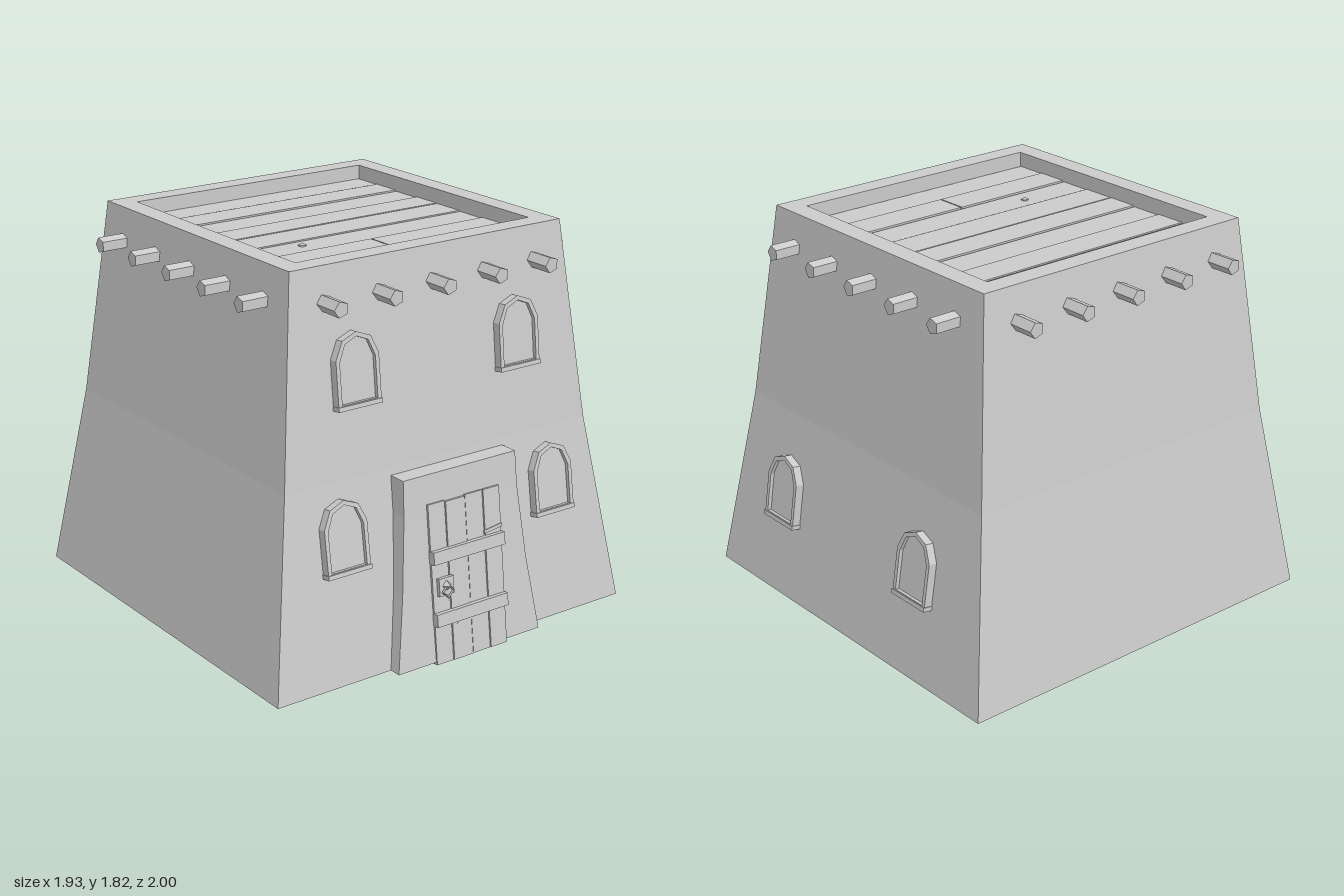
import * as THREE from 'three';

const mat = new THREE.MeshStandardMaterial({ color: 0xcccccc, flatShading: true, side: THREE.DoubleSide });
const CZ = -0.035; // centre of the tower in z

function add(parent, name, geo, x = 0, y = 0, z = 0) {
  const m = new THREE.Mesh(geo, mat);
  m.name = name;
  m.position.set(x, y, z);
  parent.add(m);
  return m;
}

const box = (w, h, d) => new THREE.BoxGeometry(w, h, d);

// Skin through stacked rectangles [y, x0, x1, z0, z1]
function loft(rings, caps = false) {
  const pos = [];
  const c = rings.map(([y, x0, x1, z0, z1]) => [[x0, y, z1], [x1, y, z1], [x1, y, z0], [x0, y, z0]]);
  const quad = (a, b, d, e) => pos.push(...a, ...b, ...d, ...a, ...d, ...e);
  for (let k = 0; k < c.length - 1; k++) {
    for (let i = 0; i < 4; i++) {
      const j = (i + 1) % 4;
      quad(c[k][i], c[k][j], c[k + 1][j], c[k + 1][i]);
    }
  }
  if (caps) {
    quad(...c[c.length - 1]);
    quad(...c[0].slice().reverse());
  }
  const g = new THREE.BufferGeometry();
  g.setAttribute('position', new THREE.Float32BufferAttribute(pos, 3));
  g.computeVertexNormals();
  return g;
}

// Half width of the tower at a height, and the lean of its wall there
const wallHalf = (y) => (y < 0.9 ? 0.965 - (0.135 * (y - 0.015)) / 0.885 : 0.83 - (0.1 * (y - 0.9)) / 0.92);
const wallLean = (y) => Math.atan(y < 0.9 ? 0.135 / 0.885 : 0.1 / 0.92);

// Pointed arch outline
function arch(half, bottom, spring, shoulder, top) {
  return [[-half, bottom], [half, bottom], [half, spring], [half * 0.66, shoulder],
    [0, top], [-half * 0.66, shoulder], [-half, spring]].map(([x, y]) => new THREE.Vector2(x, y));
}

function makeWindow() {
  const g = new THREE.Group();
  g.name = 'window';
  const inner = arch(0.092, 0.024, 0.207, 0.28, 0.306);
  const frame = new THREE.Shape(arch(0.111, 0, 0.218, 0.297, 0.326));
  frame.holes.push(new THREE.Path(inner));
  add(g, 'windowFrame', new THREE.ExtrudeGeometry(frame, { depth: 0.055, bevelEnabled: false }), 0, 0, -0.015);
  add(g, 'windowPane', new THREE.ExtrudeGeometry(new THREE.Shape(inner), { depth: 0.03, bevelEnabled: false }), 0, 0, -0.008);
  add(g, 'windowSill', box(0.228, 0.02, 0.05), 0, 0.01, 0.02);
  return g;
}

function makeRoof() {
  const g = new THREE.Group();
  g.name = 'roof';
  add(g, 'roofUnderlay', box(1.26, 0.02, 1.264), 0, 1.73, CZ);
  const cuts = [-0.67, -0.52, -0.365, -0.205, -0.05, 0.12, 0.28, 0.44, 0.595];
  for (let i = 0; i < cuts.length - 1; i++) {
    const w = cuts[i + 1] - cuts[i] - 0.008;
    const z = (cuts[i] + cuts[i + 1]) / 2;
    const y = 1.742 + 0.003 * Math.sin(i * 2.3);
    if (i === 6) { // one board is made of two pieces
      add(g, 'roofBoard', box(0.618, 0.02, w), -0.319, y, z);
      add(g, 'roofBoard', box(0.634, 0.02, w), 0.313, y, z);
    } else add(g, 'roofBoard', box(1.26, 0.02, w), 0, y, z);
  }
  add(g, 'roofKnot', new THREE.CylinderGeometry(0.018, 0.018, 0.01, 6), -0.31, 1.75, 0.19);
  return g;
}

function makeDoor() {
  const g = new THREE.Group();
  g.name = 'door';
  // Four planks with uneven tops and thickness
  const planks = [[-0.2, -0.105, 0.735], [-0.105, 0.005, 0.73], [0.005, 0.105, 0.735], [0.105, 0.2, 0.735]];
  planks.forEach(([a, b, h], i) => {
    add(g, 'doorPlank', box(b - a - 0.004, h, 0.036), (a + b) / 2, h / 2, -0.008 + 0.003 * (i % 2));
  });
  for (const y of [0.21, 0.495]) add(g, 'doorBatten', box(0.4, 0.058, 0.05), 0, y, 0.01);
  // Splintered edge above the upper batten
  add(g, 'doorSplinter', box(0.1, 0.015, 0.02), 0.15, 0.548, 0.008).rotation.z = 0.12;
  // Square plate with a ring-shaped knocker hanging from a stud
  add(g, 'knockerPlate', box(0.08, 0.08, 0.02), -0.135, 0.355, 0.018);
  add(g, 'knockerStud', new THREE.ConeGeometry(0.026, 0.035, 4), -0.135, 0.36, 0.042).rotation.x = Math.PI / 2;
  add(g, 'knockerRing', new THREE.TorusGeometry(0.03, 0.006, 4, 4), -0.135, 0.335, 0.036);
  add(g, 'keyhole', new THREE.CylinderGeometry(0.009, 0.009, 0.006, 6), -0.07, 0.16, 0.012).rotation.x = Math.PI / 2;
  return g;
}

export function createModel() {
  const model = new THREE.Group();
  model.name = 'adobeTower';

  // Tapered walls, rim and inside of the parapet
  const ring = (y, h) => [y, -h, h, CZ - h, CZ + h];
  add(model, 'walls', loft([ring(0.015, 0.965), ring(0.9, 0.83), ring(1.82, 0.73), ring(1.82, 0.632), ring(1.725, 0.632)]));
  model.add(makeRoof());

  // Five-sided beam ends on all four sides
  for (let side = 0; side < 4; side++) {
    const beams = new THREE.Group();
    beams.name = 'beamEnds';
    beams.position.z = CZ;
    beams.rotation.y = (side * Math.PI) / 2;
    for (let i = -2; i <= 2; i++) {
      const b = add(beams, 'beamEnd', new THREE.CylinderGeometry(0.037, 0.037, 0.17, 5), i * 0.284, 1.665, 0.785);
      b.rotation.set(Math.PI / 2, -Math.PI / 2, 0);
    }
    model.add(beams);
  }

  // Windows: [side turn, position along the wall, sill height]
  const q = Math.PI / 2;
  const windows = [[0, -0.445, 1.205], [0, 0.435, 1.205], [0, -0.565, 0.505], [0, 0.592, 0.505],
    [q, 0.47, 0.375], [q, -0.51, 0.375]];
  for (const [turn, along, y] of windows) {
    const w = makeWindow();
    const out = wallHalf(y);
    if (turn) w.position.set(out, y, along);
    else w.position.set(along, y, CZ + out);
    w.rotation.set(-wallLean(y), turn, 0, 'YXZ');
    model.add(w);
  }

  // Flared door surround standing proud of the front wall
  const back = (y) => CZ + wallHalf(y) - 0.012;
  const surround = [[0.015, 0.4, 0.987], [0.36, 0.35, 0.942], [0.7, 0.317, 0.902], [0.865, 0.312, 0.887]]
    .map(([y, h, z]) => [y, 0.03 - h, 0.03 + h, back(y), z]);
  add(model, 'doorSurround', loft(surround, true));

  const door = makeDoor();
  door.position.set(0.035, 0.003, 0.985);
  door.rotation.x = -0.118;
  model.add(door);
  return model;
}
